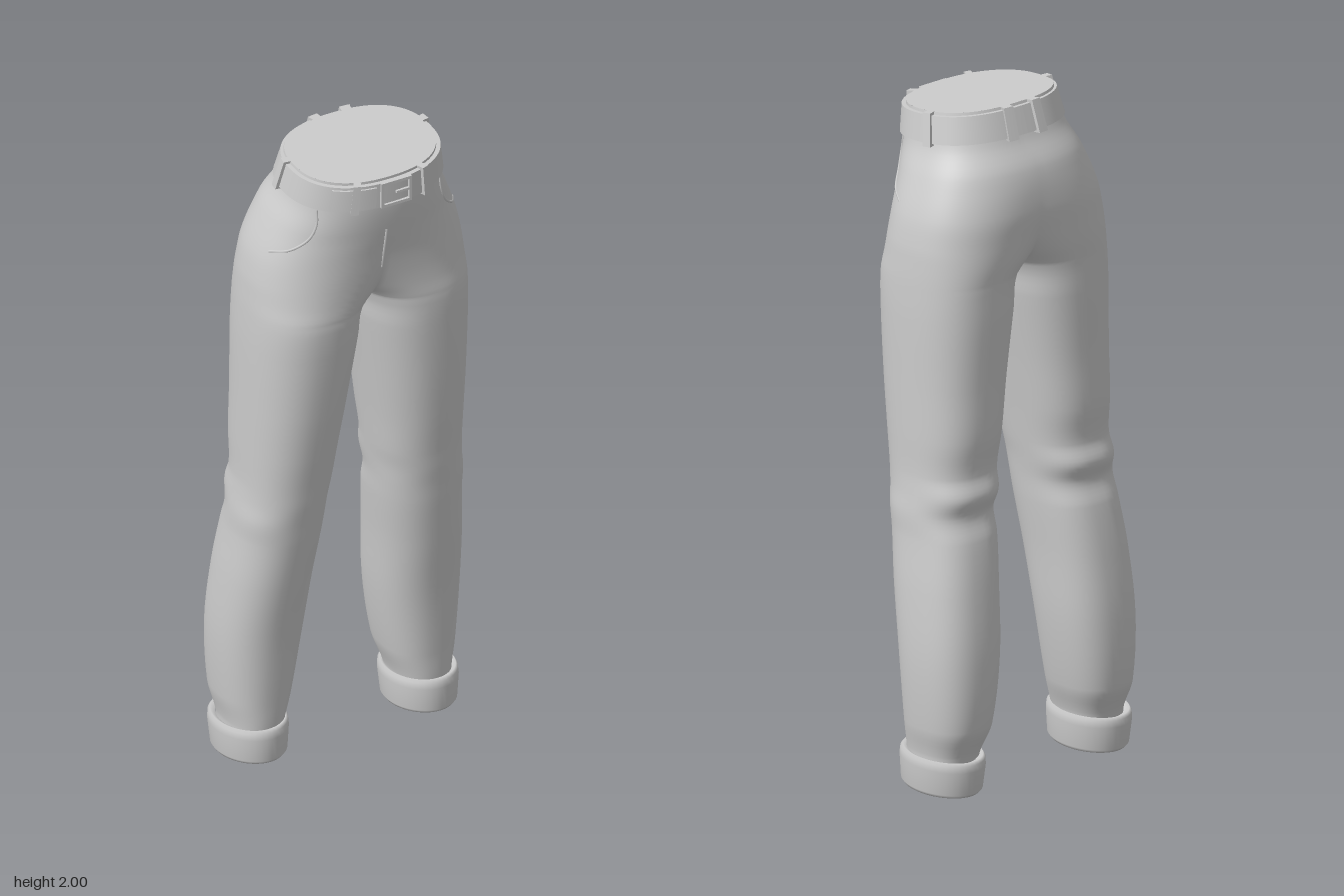
import * as THREE from 'three';
import { mergeVertices } from 'three/addons/utils/BufferGeometryUtils.js';

// Cross-sections of one half: height, outer x, inner x, front z, back z.
// An inner x below zero means the section is cut at the centre seam.
const KEYS = [
  [0.08, 0.36, 0.19, 0.015, -0.195],
  [0.12, 0.36, 0.185, 0.02, -0.205],
  [0.2, 0.375, 0.16, 0.025, -0.235],
  [0.4, 0.385, 0.13, 0.045, -0.243],
  [0.6, 0.375, 0.115, 0.08, -0.225],
  [0.75, 0.36, 0.1, 0.105, -0.2],
  [0.82, 0.357, 0.095, 0.115, -0.178],
  [0.88, 0.35, 0.088, 0.125, -0.196],
  [0.94, 0.345, 0.08, 0.133, -0.179],
  [1.05, 0.345, 0.066, 0.15, -0.19],
  [1.2, 0.345, 0.045, 0.17, -0.19],
  [1.4, 0.345, 0.015, 0.19, -0.195],
  [1.5, 0.342, 0, 0.195, -0.195],
  [1.56, 0.338, -0.06, 0.192, -0.2],
  [1.62, 0.332, -0.13, 0.193, -0.203],
  [1.7, 0.315, -0.22, 0.2, -0.206],
  [1.8, 0.275, -0.3, 0.217, -0.188],
  [1.88, 0.238, -0.3, 0.226, -0.142],
  [1.982, 0.218, -0.3, 0.228, -0.108],
];
const TOP = 1.982;

// Smooth interpolation between the cross-sections
function section(y) {
  let k = 0;
  while (k < KEYS.length - 2 && y > KEYS[k + 1][0]) k++;
  const [p, q] = [KEYS[k], KEYS[k + 1]];
  const before = KEYS[Math.max(k - 1, 0)];
  const after = KEYS[Math.min(k + 2, KEYS.length - 1)];
  const h = q[0] - p[0], t = (y - p[0]) / h;
  const v = [1, 2, 3, 4].map((c) => {
    const m0 = (h * (q[c] - before[c])) / (q[0] - before[0]);
    const m1 = (h * (after[c] - p[c])) / (after[0] - p[0]);
    const d = q[c] - p[c];
    return p[c] + t * (m0 + t * (3 * d - 2 * m0 - m1 + t * (m0 + m1 - 2 * d)));
  });
  v[1] = Math.max(v[1], -v[0]);
  return v;
}

const exponent = (back) => (back ? 2.5 : 2.3);
const signedPow = (v, e) => Math.sign(v) * Math.abs(v) ** e;

// Point on the cloth at a height and angle (0 = outer side, PI/2 = front)
function surface(y, angle, offset = 0) {
  const [o, i, f, b] = section(y);
  const e = 2 / exponent(angle < 0);
  const x = (o + i) / 2 + ((o - i) / 2 + offset) * signedPow(Math.cos(angle), e);
  const z = (f + b) / 2 + ((f - b) / 2 + offset) * signedPow(Math.sin(angle), e);
  const tilt = 0.086 * THREE.MathUtils.smoothstep(y, 1.6, 1.9);
  return new THREE.Vector3(x, y - tilt * (z - 0.06), z);
}

// Angle at which a section meets the centre seam
function seamAngle(y, back) {
  const [o, i] = section(y);
  if (i >= 0) return Math.PI;
  return Math.acos(-(((o + i) / (o - i)) ** (exponent(back) / 2)));
}

// Both legs and the hips, welded along the centre seam
function trousersGeometry() {
  const levels = [KEYS[0][0]];
  for (let k = 1; k < KEYS.length; k++) {
    for (let s = 1; s <= 5; s++) levels.push(THREE.MathUtils.lerp(KEYS[k - 1][0], KEYS[k][0], s / 5));
  }
  const n = 48, w = n + 1, pos = [], index = [];
  for (const side of [1, -1]) {
    const base = pos.length / 3;
    levels.forEach((y, r) => {
      for (let j = 0; j <= n; j++) {
        const u = (2 * j) / n - 1;
        const p = surface(y, u * seamAngle(y, u < 0));
        pos.push(side * p.x, p.y, p.z);
        if (r === 0 || j === n) continue;
        const a = base + (r - 1) * w + j, b = a + 1, c = a + w, d = c + 1;
        if (side > 0) index.push(a, c, b, b, c, d);
        else index.push(a, b, c, b, d, c);
      }
    });
  }
  const g = new THREE.BufferGeometry();
  g.setAttribute('position', new THREE.Float32BufferAttribute(pos, 3));
  g.setIndex(index);
  const welded = mergeVertices(g, 1e-4);
  welded.computeVertexNormals();
  return welded;
}

// Flat piece closing the waist
function waistGeometry() {
  const n = 64, pos = [0, TOP, 0.06], index = [];
  for (let j = 0; j < n; j++) {
    pos.push(...surface(TOP, (j / n) * 2 * Math.PI - Math.PI).toArray());
    index.push(0, 1 + ((j + 1) % n), 1 + j);
  }
  const g = new THREE.BufferGeometry();
  g.setAttribute('position', new THREE.Float32BufferAttribute(pos, 3));
  g.setIndex(index);
  g.computeVertexNormals();
  return g;
}

// A box bent around the waist
function bandGeometry(y0, y1, thickness, angle, halfSpan, segments) {
  const g = new THREE.BoxGeometry(1, 1, 1, segments, 1, 1);
  const a = g.attributes.position;
  for (let i = 0; i < a.count; i++) {
    const y = THREE.MathUtils.lerp(y0, y1, a.getY(i) + 0.5);
    const offset = a.getZ(i) > 0 ? thickness : -0.006;
    const p = surface(y, angle - 2 * halfSpan * a.getX(i), offset);
    a.setXYZ(i, p.x, p.y, p.z);
  }
  g.computeVertexNormals();
  return g;
}

export function createModel() {
  const model = new THREE.Group();
  model.name = 'trousers';
  const material = new THREE.MeshStandardMaterial({ color: 0xcccccc });
  const add = (name, geometry, parent = model) => {
    const mesh = new THREE.Mesh(geometry, material);
    mesh.name = name;
    parent.add(mesh);
    return mesh;
  };

  add('legsAndHips', trousersGeometry());
  add('waistClosure', waistGeometry());

  // Belt, its loose end and the loops; the belt's joint is at the back
  add('belt', bandGeometry(1.895, 1.974, 0.012, Math.PI / 2, Math.PI, 96));
  add('beltEnd', bandGeometry(1.902, 1.966, 0.017, 2.05, 0.3, 12));
  for (const [angle, half] of [[1.14, 0.05], [-0.15, 0.06], [-1.407, 0.06]]) {
    add('leftBeltLoop', bandGeometry(1.888, 1.982, 0.021, angle, half, 2));
    add('rightBeltLoop', bandGeometry(1.888, 1.982, 0.021, Math.PI - angle, half, 2));
  }

  // Buckle
  const buckle = new THREE.Group();
  buckle.name = 'buckle';
  buckle.position.set(0.01, 1.92, 0.234);
  const frame = new THREE.Shape();
  const rect = (path, w, h) => path.moveTo(-w, -h).lineTo(w, -h).lineTo(w, h).lineTo(-w, h).closePath();
  rect(frame, 0.05, 0.04);
  const hole = new THREE.Path();
  rect(hole, 0.041, 0.031);
  frame.holes.push(hole);
  add('buckleFrame', new THREE.ExtrudeGeometry(frame, { depth: 0.012, bevelEnabled: false }), buckle);
  add('bucklePin', new THREE.BoxGeometry(0.045, 0.007, 0.008), buckle).position.set(0.022, 0, 0.008);
  model.add(buckle);

  // Pocket edges, each point given by height and z
  const edge = [[1.885, 0.155], [1.84, 0.16], [1.79, 0.15], [1.745, 0.115], [1.722, 0.06]].map(([y, z]) => {
    const [, , f, b] = section(y);
    const s = Math.max(0, (2 * z - f - b) / (f - b));
    return surface(y, Math.asin(s ** (exponent(false) / 2)));
  });
  for (const side of [1, -1]) {
    const curve = new THREE.CatmullRomCurve3(edge.map((p) => new THREE.Vector3(side * p.x, p.y, p.z)));
    add(side > 0 ? 'leftPocketEdge' : 'rightPocketEdge', new THREE.TubeGeometry(curve, 24, 0.004, 6));
  }

  // Fly seam
  const fly = [1.8, 1.75, 1.7, 1.65].map((y) => surface(y, seamAngle(y, false)).setX(-0.006));
  add('flySeam', new THREE.TubeGeometry(new THREE.CatmullRomCurve3(fly), 12, 0.004, 6));

  // Turned-up cuffs, recessed underneath
  const profile = [
    [0, 0.06], [0.8, 0.06], [0.83, 0.012], [0.89, 0], [0.95, 0.01],
    [1, 0.08], [0.985, 0.1], [0.93, 0.109], [0.8, 0.1],
  ].map(([r, y]) => new THREE.Vector2(r, y));
  for (const side of [1, -1]) {
    const g = new THREE.LatheGeometry(profile, 40);
    g.scale(0.107, 1, 0.139);
    const cuff = add(side > 0 ? 'leftCuff' : 'rightCuff', g);
    cuff.position.set(side * 0.278, 0.006, -0.092);
    cuff.rotation.x = -0.05;
  }
  return model;
}
